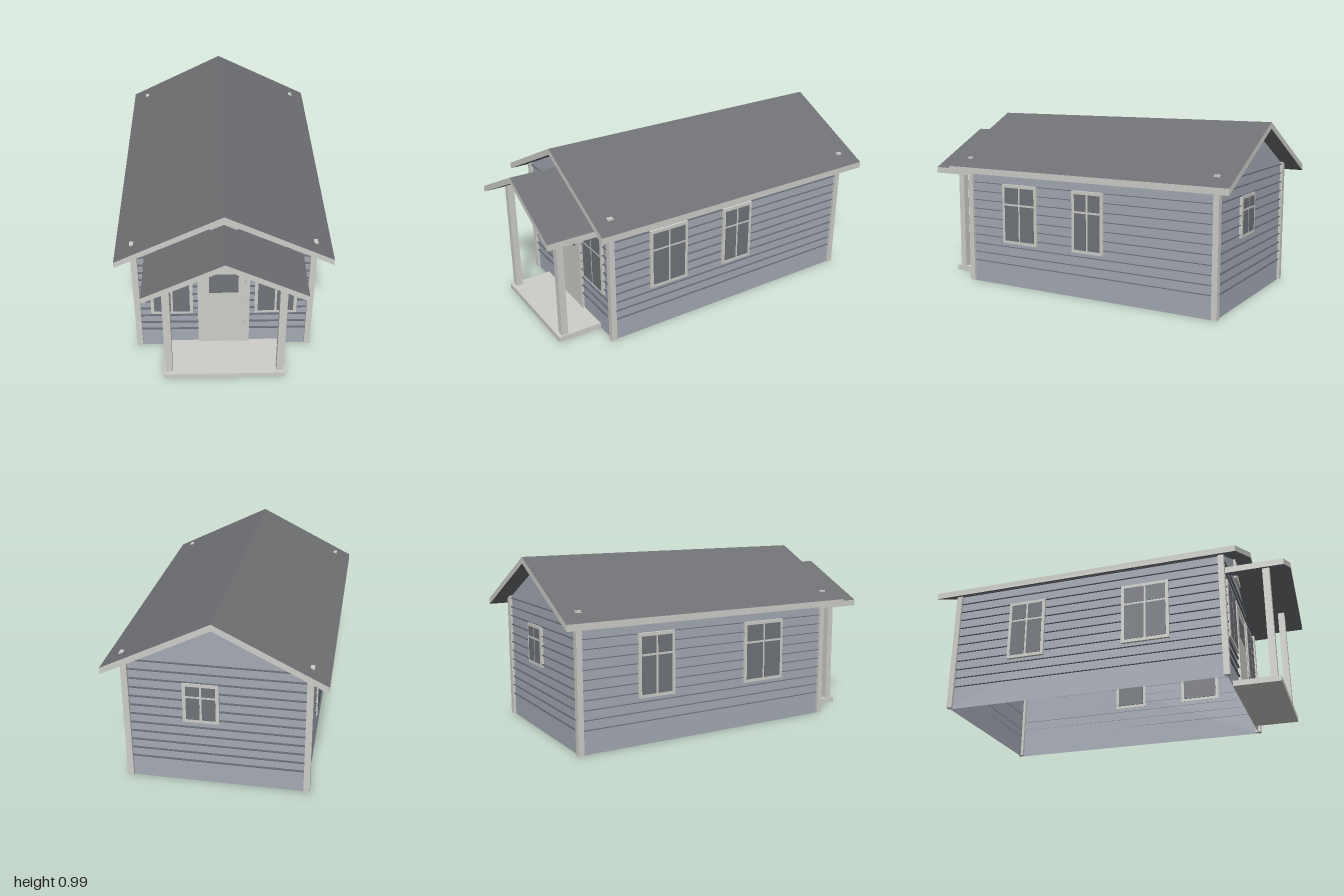
import * as THREE from 'three';

const mat = (name, color) => {
  const m = new THREE.MeshStandardMaterial({ color, side: THREE.DoubleSide });
  m.name = name;
  return m;
};

export function createModel() {
  const siding = mat('blue grey siding', 0xa4aab4);
  const trim = mat('off white trim', 0xcdcdc9);
  const roofing = mat('dark roofing', 0x6f7073);
  const glass = mat('window glass', 0x70747a);
  const seam = mat('siding seam', 0x686d76);

  const house = new THREE.Group();
  house.name = 'house';

  // Box given by its minimum and maximum corners
  const box = (parent, name, m, x0, x1, y0, y1, z0, z1) => {
    const mesh = new THREE.Mesh(new THREE.BoxGeometry(x1 - x0, y1 - y0, z1 - z0), m);
    mesh.position.set((x0 + x1) / 2, (y0 + y1) / 2, (z0 + z1) / 2);
    mesh.name = name;
    parent.add(mesh);
    return mesh;
  };

  // Outer wall planes
  const W = 0.475, FRONT = 0.675, BACK = -0.9;
  const EAVE = 0.7125, PEAK = 0.95;

  // A wall in its own frame: outside faces local +z
  const wall = (name, points, x0, x1, seamHeight, position, turn) => {
    const g = new THREE.Group();
    g.name = name;
    const shape = new THREE.Shape(points.map(([x, y]) => new THREE.Vector2(x, y)));
    const panel = new THREE.Mesh(new THREE.ShapeGeometry(shape), siding);
    panel.name = name + 'Panel';
    g.add(panel);
    // Lapped board edges
    for (let i = 0; i < 12; i++) {
      const y = 0.13 + i * 0.0525;
      box(g, 'boardEdge', seam, x0, x1, y - seamHeight / 2, y + seamHeight / 2, 0, 0.01);
    }
    g.position.set(...position);
    g.rotation.y = turn;
    house.add(g);
    return g;
  };

  const gable = [[-W, 0], [W, 0], [W, EAVE], [0, PEAK], [-W, EAVE]];
  const flat = (a, b) => [[a, 0], [b, 0], [b, EAVE], [a, EAVE]];

  const front = wall('frontWall', gable, -W, W, 0.005, [0, 0, FRONT], 0);
  const back = wall('backWall', gable, -W, W, 0.005, [0, 0, BACK], Math.PI);
  const left = wall('leftWall', flat(-FRONT, -BACK), -FRONT, -BACK, 0.003, [W, 0, 0], Math.PI / 2);
  const right = wall('rightWall', flat(BACK, FRONT), BACK, FRONT, 0.003, [-W, 0, 0], -Math.PI / 2);

  // Window: frame slab, four panes outside and one pane inside
  const windowOn = (parent, cx, width, y0, y1, barY) => {
    const g = new THREE.Group();
    g.name = 'window';
    parent.add(g);
    const h = width / 2, rim = 0.018, bar = 0.006;
    box(g, 'windowFrame', trim, cx - h, cx + h, y0, y1, -0.002, 0.015);
    box(g, 'innerPane', glass, cx - h + rim, cx + h - rim, y0 + rim, y1 - rim, -0.006, -0.002);
    for (const [a, b] of [[cx - h + rim, cx - bar], [cx + bar, cx + h - rim]]) {
      box(g, 'lowerPane', glass, a, b, y0 + rim, barY - bar, 0.014, 0.017);
      box(g, 'upperPane', glass, a, b, barY + bar, y1 - rim, 0.014, 0.017);
    }
  };

  for (const s of [-1, 1]) windowOn(front, s * 0.285, 0.232, 0.255, 0.605, 0.486);
  windowOn(left, -0.32, 0.24, 0.258, 0.605, 0.488);
  windowOn(left, 0.14, 0.2, 0.258, 0.605, 0.488);
  windowOn(right, 0.245, 0.27, 0.258, 0.605, 0.488);
  windowOn(right, -0.455, 0.22, 0.258, 0.605, 0.488);
  windowOn(back, -0.08, 0.19, 0.375, 0.603, 0.525);

  // Door with frame and small light
  for (const s of [-1, 1]) {
    const x = s * 0.13;
    box(front, 'doorJamb', trim, x - 0.012, x + 0.012, 0.03, 0.6, 0, 0.015);
  }
  box(front, 'doorHead', trim, -0.118, 0.118, 0.575, 0.6, 0, 0.015);
  box(front, 'door', trim, -0.118, 0.118, 0.03, 0.575, -0.005, 0.011);
  box(front, 'doorGlass', glass, -0.08, 0.08, 0.405, 0.535, 0.01, 0.013);

  // Plate in the front gable
  box(front, 'gablePlate', trim, -0.071, 0.071, 0.79, 0.915, 0, 0.012);

  // Corner boards
  for (const s of [-1, 1]) {
    for (const z of [0.675, -0.9]) {
      box(house, 'cornerBoard', trim, s * 0.4745 - 0.0165, s * 0.4745 + 0.0165,
        0.005, 0.75, z - 0.016, z + 0.016);
    }
  }

  // Gabled roof slab: trim on the ends and eaves, roofing on the slopes
  const roof = (name, half, peak, z0, z1) => {
    const t = 0.035, e = peak - half / 2;
    const shape = new THREE.Shape([
      [-half, e - t], [0, peak - t], [half, e - t], [half, e], [0, peak], [-half, e],
    ].map(([x, y]) => new THREE.Vector2(x, y)));
    const made = new THREE.ExtrudeGeometry(shape, { depth: z1 - z0, bevelEnabled: false });
    const geo = made.index ? made.toNonIndexed() : made;
    geo.computeVertexNormals();
    geo.clearGroups();
    const n = geo.attributes.normal;
    for (let i = 0; i < n.count; i += 3) {
      const slope = Math.abs(n.getY(i)) > 0.3;
      geo.addGroup(i, 3, slope ? 1 : 0);
    }
    const mesh = new THREE.Mesh(geo, [trim, roofing]);
    mesh.position.z = z0;
    mesh.name = name;
    house.add(mesh);
  };
  roof('mainRoof', 0.57, 0.985, -1, 0.77);
  roof('porchRoof', 0.42, 0.873, FRONT, 1);

  // Porch floor and posts
  box(house, 'porchFloor', trim, -0.333, 0.333, 0, 0.03, FRONT, 0.93);
  for (const s of [-1, 1]) {
    box(house, 'porchPost', trim, s * 0.304 - 0.02, s * 0.304 + 0.02, 0.03, 0.695, 0.872, 0.91);
  }

  return house;
}
